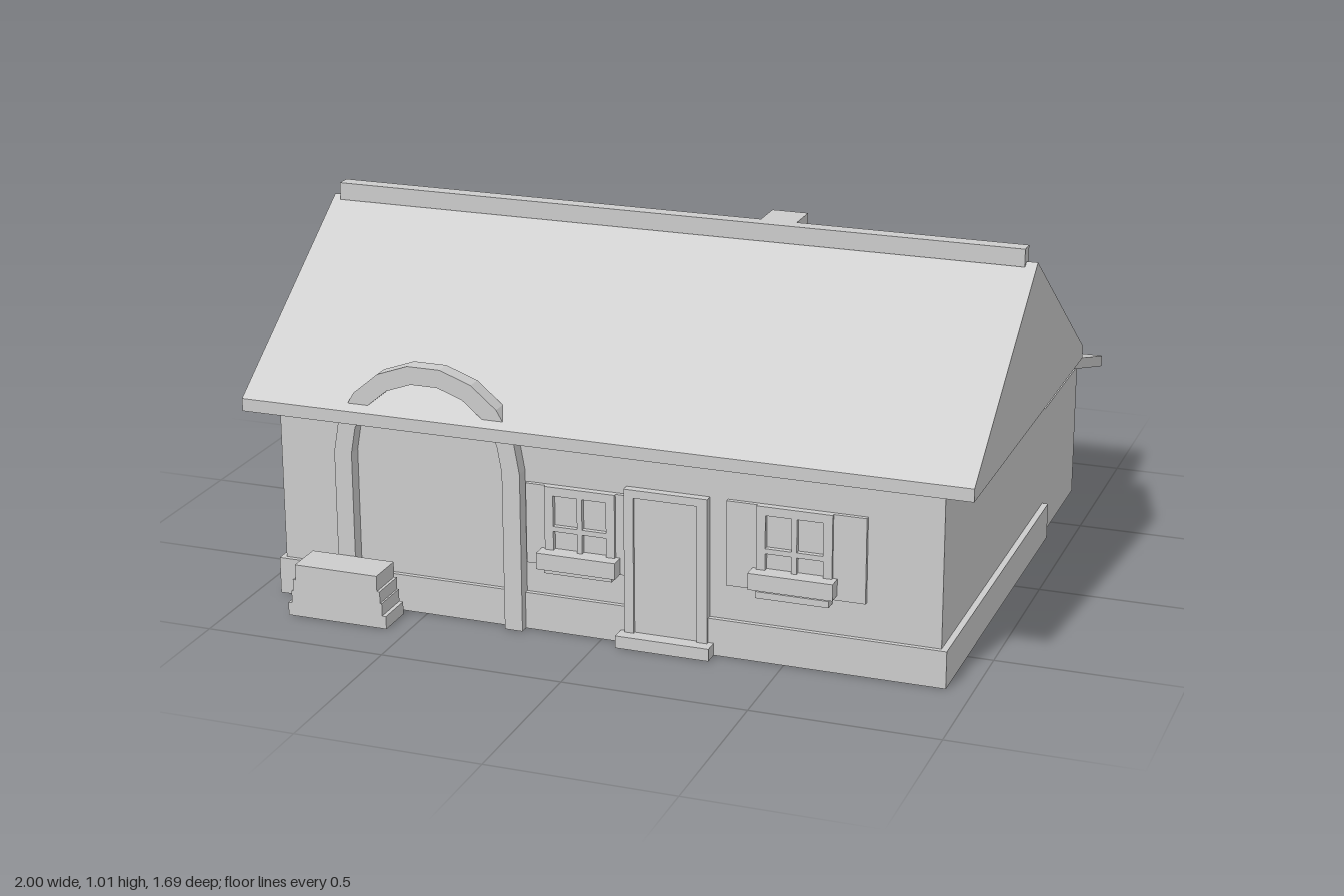
import * as THREE from 'three';

export function createModel() {
  const house = new THREE.Group();
  house.name = 'cottage';
  const plaster = new THREE.MeshStandardMaterial({ color: 0xcccccc });
  plaster.name = 'plainGrey';

  const add = (name, geometry, parent = house) => {
    const mesh = new THREE.Mesh(geometry, plaster);
    mesh.name = name;
    parent.add(mesh);
    return mesh;
  };
  // Box given by its limits on each axis
  const box = (name, x0, x1, y0, y1, z0, z1, parent = house) => {
    const g = new THREE.BoxGeometry(x1 - x0, y1 - y0, z1 - z0);
    g.translate((x0 + x1) / 2, (y0 + y1) / 2, (z0 + z1) / 2);
    return add(name, g, parent);
  };
  // [z, y] section extruded along x
  const alongX = (name, points, x0, x1) => {
    const shape = new THREE.Shape(points.map(([z, y]) => new THREE.Vector2(-z, y)));
    const g = new THREE.ExtrudeGeometry(shape, { depth: x1 - x0, bevelEnabled: false });
    g.rotateY(Math.PI / 2);
    g.translate(x0, 0, 0);
    return add(name, g);
  };
  const rect = (Type, x0, x1, y0, y1) => new Type([
    new THREE.Vector2(x0, y0), new THREE.Vector2(x1, y0),
    new THREE.Vector2(x1, y1), new THREE.Vector2(x0, y1)]);

  // Walls and plinth
  box('walls', -0.92, 0.913, 0, 0.535, -0.37, 0.7);
  box('plinth', -0.935, 0.93, 0, 0.102, -0.38, 0.713);

  // Main roof with solid gables, and ridge cap
  alongX('mainRoof', [[0.76, 0.53], [0.76, 0.565], [0.165, 0.975], [-0.43, 0.565], [-0.43, 0.53]], -1, 1);
  box('ridgeCap', -0.975, 0.97, 0.965, 1.013, 0.143, 0.185);

  // Chimney on the rear slope
  box('chimneyStack', 0.22, 0.36, 0.82, 0.925, 0.025, 0.14);
  box('chimneyCollar', 0.2, 0.38, 0.92, 0.952, 0.002, 0.14);
  box('chimneyTop', 0.24, 0.34, 0.95, 1.012, 0.042, 0.14);

  // Rear lean-to
  box('leanToWalls', 0.09, 0.913, 0, 0.387, -0.77, -0.36);
  alongX('leanToRoof', [[-0.35, 0.516], [-0.345, 0.548], [-0.845, 0.403], [-0.845, 0.371]], 0.05, 0.97);

  // Arch that rises through the front eave
  const cx = -0.48, cy = 0.44, ro = 0.265, ri = 0.215, n = 9;
  const arch = [new THREE.Vector2(cx + ri, 0), new THREE.Vector2(cx + ro, 0)];
  for (let i = 0; i <= n; i++) {
    const a = Math.PI * i / n;
    arch.push(new THREE.Vector2(cx + ro * Math.cos(a), cy + ro * Math.sin(a)));
  }
  arch.push(new THREE.Vector2(cx - ro, 0), new THREE.Vector2(cx - ri, 0));
  for (let i = n; i >= 0; i--) {
    const a = Math.PI * i / n;
    arch.push(new THREE.Vector2(cx + ri * Math.cos(a), cy + ri * Math.sin(a)));
  }
  const archGeometry = new THREE.ExtrudeGeometry(new THREE.Shape(arch), { depth: 0.045, bevelEnabled: false });
  archGeometry.translate(0, 0, 0.693);
  add('frontArch', archGeometry);

  // Stack of slabs in front of the arch
  [[0.143, 0, 0.036], [0.132, 0.036, 0.071], [0.127, 0.071, 0.104], [0.119, 0.104, 0.147]].forEach(
    ([half, y0, y1], i) => box('stepSlab' + (i + 1), -0.702 - half, -0.702 + half, y0, y1, 0.738, 0.845));

  // Four-pane window frame, centred on x, standing on z = 0 and facing +z
  const windowFrame = (w, y0, y1, parent) => {
    const h = w / 2, rim = 0.024, bar = 0.007, mid = y0 + (y1 - y0) * 0.48;
    const frame = rect(THREE.Shape, -h, h, y0, y1);
    for (const [a, b] of [[-h + rim, -bar], [bar, h - rim]]) {
      frame.holes.push(rect(THREE.Path, a, b, y0 + rim, mid - bar));
      frame.holes.push(rect(THREE.Path, a, b, mid + bar, y1 - rim));
    }
    const g = new THREE.ExtrudeGeometry(frame, { depth: 0.02, bevelEnabled: false });
    add('windowFrame', g, parent);
    box('glass', -h + 0.01, h - 0.01, y0 + 0.01, y1 - 0.01, 0, 0.006, parent);
  };

  // Front windows with shutters, planter and sill
  const frontWindow = (name, x, w, y0, y1, boxY, left, right) => {
    const group = new THREE.Group();
    group.name = name;
    group.position.set(x, 0, 0.7);
    house.add(group);
    windowFrame(w, y0, y1, group);
    box('leftShutter', -w / 2 - left, -w / 2, y0, y1, 0, 0.012, group);
    box('rightShutter', w / 2, w / 2 + right, y0, y1, 0, 0.012, group);
    box('planter', -w / 2 - 0.012, w / 2 + 0.012, boxY, boxY + 0.045, 0, 0.053, group);
    box('sill', -w / 2 + 0.003, w / 2 - 0.003, y0 - 0.014, y0 + 0.004, 0, 0.035, group);
  };
  frontWindow('frontWindowCentre', -0.057, 0.195, 0.188, 0.41, 0.19, 0.055, 0.03);
  frontWindow('frontWindowLeft', 0.527, 0.202, 0.2, 0.432, 0.214, 0.083, 0.087);

  // Rear windows
  for (const [x, w] of [[-0.36, 0.18], [-0.725, 0.16]]) {
    const group = new THREE.Group();
    group.name = 'rearWindow';
    group.position.set(x, 0, -0.37);
    group.rotation.y = Math.PI;
    house.add(group);
    windowFrame(w, 0.175, 0.39, group);
    box('sill', -w / 2 - 0.015, w / 2 + 0.015, 0.16, 0.18, 0, 0.035, group);
  }

  // Front door
  const doorFrame = rect(THREE.Shape, 0.067, 0.295, 0.03, 0.432);
  doorFrame.holes.push(rect(THREE.Path, 0.093, 0.267, 0.034, 0.41));
  const doorGeometry = new THREE.ExtrudeGeometry(doorFrame, { depth: 0.025, bevelEnabled: false });
  doorGeometry.translate(0, 0, 0.698);
  add('doorFrame', doorGeometry);
  box('door', 0.09, 0.27, 0.03, 0.412, 0.69, 0.715);
  box('doorStep', 0.053, 0.31, 0, 0.034, 0.7, 0.755);

  return house;
}
